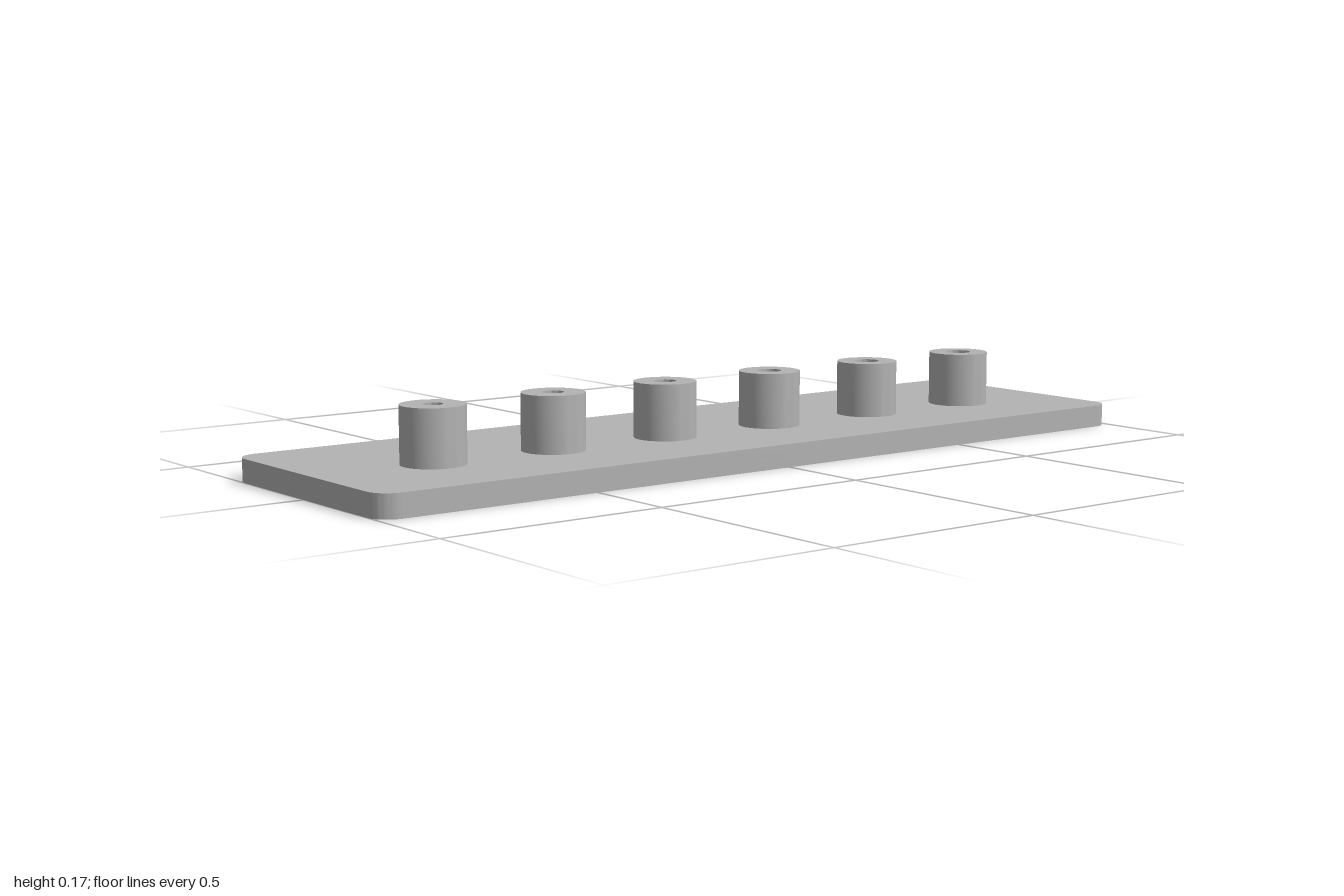
import * as THREE from 'three';
import { toCreasedNormals } from 'three/addons/utils/BufferGeometryUtils.js';

const HALF_X = 1, HALF_Z = 0.2925, CORNER = 0.05, THICK = 0.05;
const COUNT = 6, SPACING = 0.2925, BOSS_Z = 0.048, BOSS_R = 0.068, BOSS_TOP = 0.172;
const DOT_R = 0.0073, DOT_DEPTH = 0.015, DOT_STEP = 0.0293, DOT_Z = -0.185;

// Rounded rectangle outline of the plate
function plateShape() {
  const s = new THREE.Shape();
  const x = HALF_X - CORNER, y = HALF_Z - CORNER;
  s.absarc(x, y, CORNER, 0, Math.PI / 2);
  s.absarc(-x, y, CORNER, Math.PI / 2, Math.PI);
  s.absarc(-x, -y, CORNER, Math.PI, Math.PI * 1.5);
  s.absarc(x, -y, CORNER, Math.PI * 1.5, Math.PI * 2);
  s.closePath();
  return s;
}

// Only the side walls of an extruded outline, without its lids
function wallGeometry(shape, depth) {
  const full = new THREE.ExtrudeGeometry(shape, { depth, bevelEnabled: false, curveSegments: 12 });
  const { start, count } = full.groups[1];
  const wall = new THREE.BufferGeometry();
  const points = full.attributes.position.array.slice(start * 3, (start + count) * 3);
  wall.setAttribute('position', new THREE.BufferAttribute(points, 3));
  return toCreasedNormals(wall, 0.6);
}

function lathe(profile, segments) {
  const points = profile.map(([r, y]) => new THREE.Vector2(r, y));
  return toCreasedNormals(new THREE.LatheGeometry(points, segments), 0.6);
}

export function createModel() {
  const model = new THREE.Group();
  const grey = new THREE.MeshStandardMaterial({ color: 0xb3b3b3 });
  grey.name = 'grey';

  function add(name, geometry, x = 0, y = 0, z = 0) {
    const mesh = new THREE.Mesh(geometry, grey);
    mesh.name = name;
    mesh.position.set(x, y, z);
    model.add(mesh);
  }

  // Plate top and rim
  const outline = plateShape();
  add('plateTop', new THREE.ShapeGeometry(outline, 12).rotateX(-Math.PI / 2), 0, THICK, 0);
  add('plateRim', wallGeometry(outline, THICK).rotateX(-Math.PI / 2));

  const underside = plateShape();
  const recess = lathe([[0, DOT_DEPTH], [DOT_R, DOT_DEPTH], [DOT_R, 0]], 16);

  for (let i = 0; i < COUNT; i++) {
    const x = (i - (COUNT - 1) / 2) * SPACING;

    // Hollow boss; the bore widens from one end of the row to the other
    const bore = 0.021 + i * 0.0016;
    const profile = [[BOSS_R, THICK], [BOSS_R, BOSS_TOP], [bore, BOSS_TOP], [bore, THICK]];
    add('boss' + (i + 1), lathe(profile, 48), x, 0, BOSS_Z);

    // Row of counting dots sunk into the underside, one more per boss
    for (let j = 0; j <= i; j++) {
      const dotX = x - j * DOT_STEP;
      const hole = new THREE.Path();
      hole.absarc(dotX, DOT_Z, DOT_R, 0, Math.PI * 2, true);
      underside.holes.push(hole);
      add('countingDot', recess, dotX, 0, DOT_Z);
    }
  }

  // Plate underside with the dot openings
  add('plateUnderside', new THREE.ShapeGeometry(underside, 12).rotateX(Math.PI / 2));

  return model;
}
